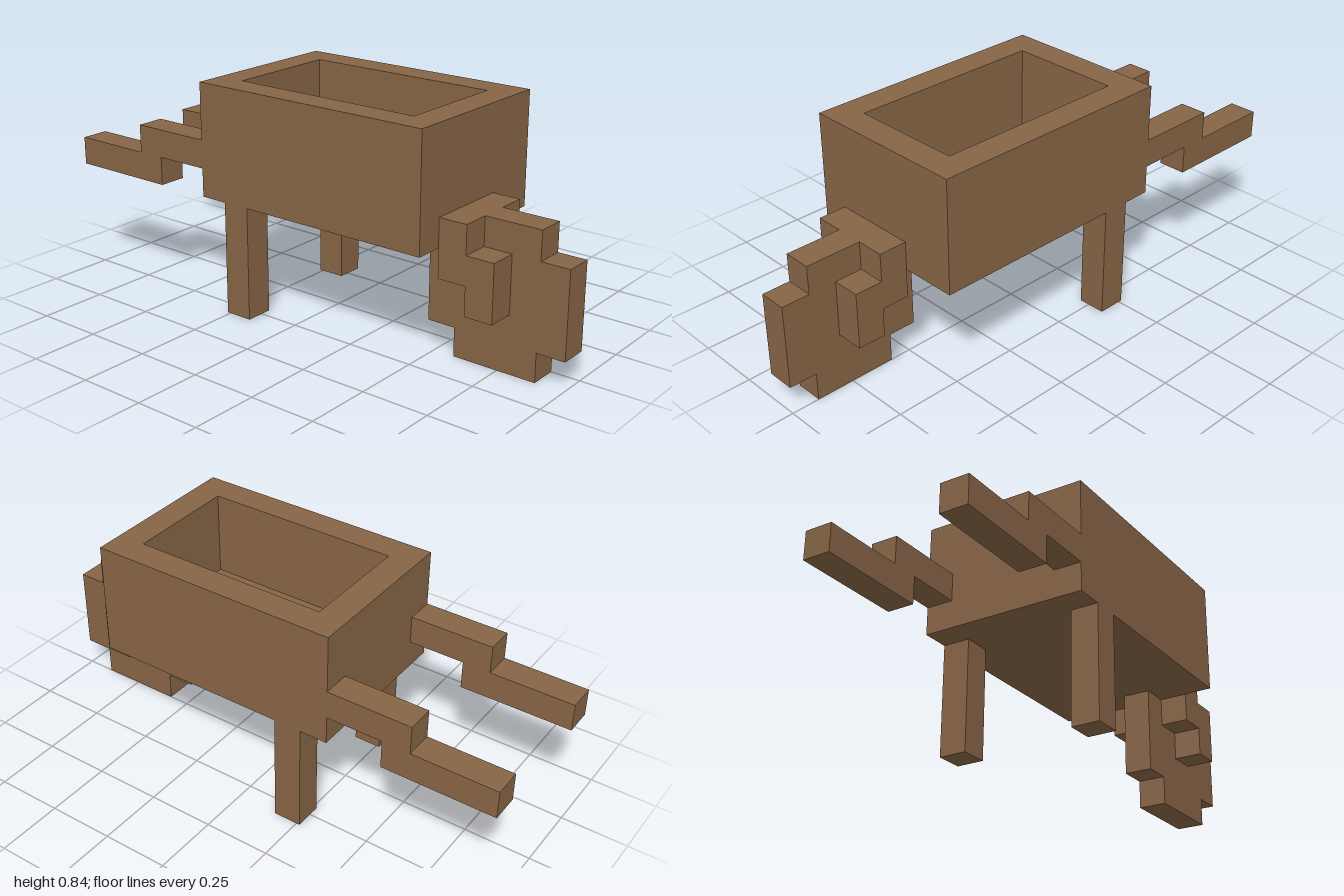
import * as THREE from 'three';

const U = 2 / 19; // one block

export function createModel() {
  const wood = new THREE.MeshStandardMaterial({ color: 0x866445 });
  wood.name = 'brown wood';
  const model = new THREE.Group();
  model.name = 'wheelbarrow';

  function add(name, geometry) {
    const mesh = new THREE.Mesh(geometry, wood);
    mesh.name = name;
    model.add(mesh);
    return mesh;
  }

  // Block coordinates: x runs 0..19 along the length, y up from the ground
  const points = (list) => list.map(([x, y]) => new THREE.Vector2(x * U - 1, y * U));

  // Side outline extruded from block z0 to z1
  function slab(name, outline, z0, z1) {
    const geometry = new THREE.ExtrudeGeometry(new THREE.Shape(points(outline)), {
      depth: (z1 - z0) * U, bevelEnabled: false,
    });
    return add(name, geometry.translate(0, 0, z0 * U));
  }

  const rect = (x0, y0, x1, y1) => [[x0, y0], [x1, y0], [x1, y1], [x0, y1]];

  // Tray: a rectangular ring of walls, with a floor fitted inside
  const ring = new THREE.Shape(points(rect(6, -3, 15, 3)));
  ring.holes.push(new THREE.Path(points(rect(7, -2, 14, 2)).reverse()));
  const walls = new THREE.ExtrudeGeometry(ring, { depth: 4 * U, bevelEnabled: false });
  add('trayWalls', walls.rotateX(-Math.PI / 2).translate(0, 4 * U, 0));
  slab('trayFloor', rect(7, 4, 14, 5), -2, 2);

  // Stepped handles and legs on both sides
  const handle = [[0, 4], [4, 4], [4, 5], [6, 5], [6, 6], [3, 6], [3, 5], [0, 5]];
  for (const [side, z] of [['left', 2], ['right', -3]]) {
    slab(side + 'Handle', handle, z, z + 1);
    slab(side + 'Leg', rect(7, 0, 8, 4), z, z + 1);
  }

  // Wheel with notched corners
  slab('wheel', [
    [15, 0], [18, 0], [18, 1], [19, 1], [19, 4], [18, 4],
    [18, 5], [15, 5], [15, 4], [14, 4], [14, 1], [15, 1],
  ], 0, 1);

  // Stepped fork arms on either side of the wheel
  const fork = [[15, 3], [16, 3], [16, 2], [17, 2], [17, 4], [16, 4], [16, 5], [15, 5]];
  slab('frontFork', fork, 1, 2);
  slab('backFork', fork, -1, 0);

  return model;
}
